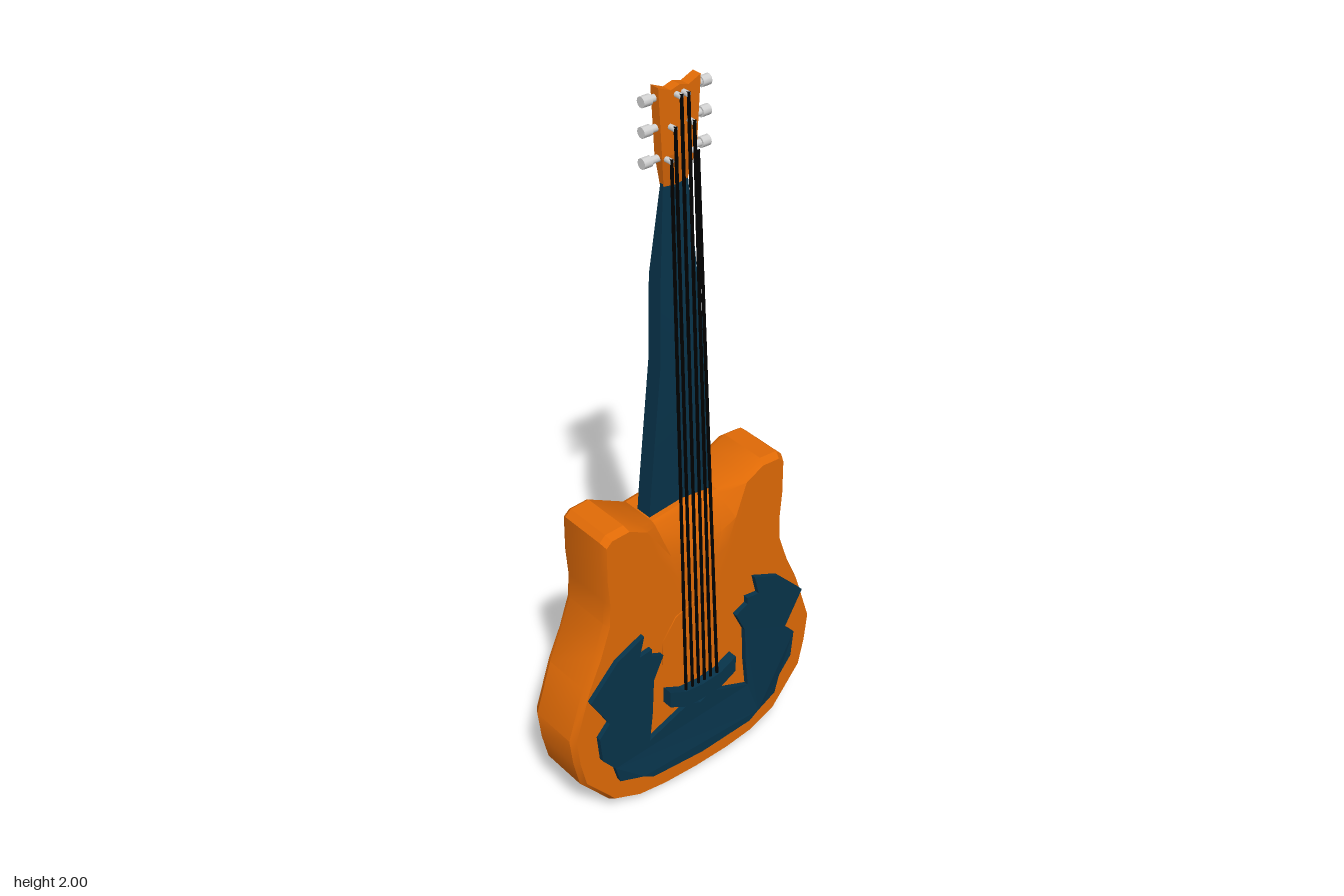
import * as THREE from 'three';
import { toCreasedNormals } from 'three/addons/utils/BufferGeometryUtils.js';

const material = (name, color) => {
  const m = new THREE.MeshStandardMaterial({ color });
  m.name = name;
  return m;
};

// Mirrors a right-hand outline (bottom to top) into a closed symmetric outline
function mirrored(half) {
  const right = half.map(([x, y]) => new THREE.Vector2(x, y));
  const left = half.filter(([x]) => x > 0).reverse().map(([x, y]) => new THREE.Vector2(-x, y));
  return [...right, ...left];
}

// Extruded symmetric plate from z0 to z1
function plate(half, z0, z1) {
  const g = new THREE.ExtrudeGeometry(new THREE.Shape(mirrored(half)), { depth: z1 - z0, bevelEnabled: false });
  return g.translate(0, 0, z0);
}

// Closed solid lofted through equal-sized rings, each counterclockwise about the loft direction
function loft(rings, crease) {
  const n = rings[0].length, top = (rings.length - 1) * n, index = [];
  for (let r = 0; r < rings.length - 1; r++) {
    for (let i = 0; i < n; i++) {
      const a = r * n + i, b = r * n + (i + 1) % n;
      index.push(a, b, a + n, b, b + n, a + n);
    }
  }
  for (let i = 1; i < n - 1; i++) {
    index.push(0, i + 1, i);
    index.push(top, top + i, top + i + 1);
  }
  const g = new THREE.BufferGeometry();
  g.setAttribute('position', new THREE.Float32BufferAttribute(rings.flat(2), 3));
  g.setIndex(index);
  return toCreasedNormals(g, crease);
}

export function createModel() {
  const model = new THREE.Group();
  model.name = 'guitar';
  const orange = material('orange wood', 0xe06a06);
  const navy = material('dark blue', 0x07334a);
  const silver = material('silver metal', 0xd2d2d2);
  const black = material('black string', 0x000000);

  const add = (name, geometry, mat, parent = model) => {
    const mesh = new THREE.Mesh(geometry, mat);
    mesh.name = name;
    parent.add(mesh);
    return mesh;
  };

  // Body with two horns: the outline scaled about a centre, from back to front
  const outline = mirrored([
    [0, 0.003], [0.11, 0.007], [0.2, 0.02], [0.285, 0.057], [0.378, 0.17], [0.396, 0.25],
    [0.406, 0.335], [0.358, 0.485], [0.32, 0.57], [0.289, 0.66], [0.285, 0.73], [0.292, 0.81],
    [0.292, 0.912], [0.275, 0.928], [0.22, 0.931], [0.165, 0.902], [0.105, 0.87], [0, 0.882],
  ]);
  const centreY = 0.45;
  // The front rim drops at the notch where the neck joins
  const bodyRing = ([scale, z, notchZ]) => outline.map(({ x, y }) => [
    x * scale, centreY + (y - centreY) * scale, Math.abs(x) < 0.11 && y > 0.8 ? notchZ : z,
  ]);
  add('body', loft([
    [0, -0.1, -0.1], [0.975, -0.1, -0.1], [1, -0.084, -0.084],
    [1, 0.052, 0.02], [0.975, 0.07, 0.03], [0.77, 0.07, 0.066], [0.6, 0.07, 0.07], [0, 0.07, 0.07],
  ].map(bodyRing), 0.5), orange);

  // Sound plate under the strings
  const disc = new THREE.CylinderGeometry(0.122, 0.122, 0.006, 10).rotateX(Math.PI / 2);
  add('soundPlate', disc, orange).position.set(0, 0.48, 0.07);

  // Pickguard wrapping round the bridge, thicker along its lower edge
  const guard = plate([
    [0, 0.086], [0.17, 0.098], [0.2, 0.118], [0.27, 0.135], [0.285, 0.19], [0.325, 0.24],
    [0.333, 0.32], [0.3, 0.355], [0.357, 0.455], [0.27, 0.545], [0.185, 0.583], [0.2, 0.522],
    [0.16, 0.527], [0.162, 0.505], [0.123, 0.487], [0.155, 0.42], [0.16, 0.31], [0.17, 0.22],
    [0.04, 0.272], [0, 0.255],
  ], 0.064, 0.084);
  const gp = guard.attributes.position;
  for (let i = 0; i < gp.count; i++) {
    if (gp.getZ(i) > 0.08 && gp.getY(i) < 0.13 && Math.abs(gp.getX(i)) < 0.21) gp.setZ(i, 0.096);
  }
  guard.computeVertexNormals();
  add('pickguard', guard, navy);

  // Curved bridge
  add('bridge', plate([
    [0, 0.28], [0.06, 0.284], [0.112, 0.312], [0.112, 0.362], [0.06, 0.336], [0, 0.33],
  ], 0.062, 0.098), navy);

  // Neck: y, half width, front z, back z
  const neckRing = ([y, w, f, b]) => [
    [-w, y, f], [w, y, f], [w, y, b + 0.2 * (f - b)],
    [0.55 * w, y, b], [-0.55 * w, y, b], [-w, y, b + 0.2 * (f - b)],
  ];
  add('neck', loft([
    [0.8, 0.106, 0.005, -0.054], [0.93, 0.097, 0.006, -0.053], [1.3, 0.07, 0.014, -0.043],
    [1.52, 0.054, -0.003, -0.057], [1.76, 0.036, -0.015, -0.026],
  ].map(neckRing), 0.35), navy);

  // Headstock, thinning towards the neck
  const head = plate([
    [0, 1.745], [0.035, 1.75], [0.05, 1.83], [0.06, 2], [0.025, 1.985], [0, 1.992],
  ], -0.027, 0);
  const hp = head.attributes.position;
  for (let i = 0; i < hp.count; i++) {
    if (hp.getY(i) < 1.8 && hp.getZ(i) > -0.01) hp.setZ(i, -0.014);
  }
  head.computeVertexNormals();
  add('headstock', head, orange);

  // Tuning pegs and strings, three on each side
  const rows = [
    { y: 1.972, top: 0.01, low: 0.01 },
    { y: 1.9, top: 0.027, low: 0.031 },
    { y: 1.825, top: 0.038, low: 0.053 },
  ];
  const shaftGeo = new THREE.CylinderGeometry(0.009, 0.009, 0.05, 10).rotateZ(Math.PI / 2);
  const knobGeo = new THREE.CylinderGeometry(0.0135, 0.0135, 0.024, 10).rotateZ(Math.PI / 2);
  const postGeo = new THREE.CylinderGeometry(0.007, 0.007, 0.022, 8).rotateX(Math.PI / 2);
  for (const side of [-1, 1]) {
    for (const { y, top, low } of rows) {
      const peg = new THREE.Group();
      peg.name = 'tuningPeg';
      model.add(peg);
      add('pegShaft', shaftGeo, silver, peg).position.set(side * 0.06, y, -0.016);
      add('pegKnob', knobGeo, silver, peg).position.set(side * 0.084, y, -0.016);
      add('pegPost', postGeo, silver, peg).position.set(side * top, y, 0.008);

      const path = new THREE.LineCurve3(
        new THREE.Vector3(side * low, 0.335, 0.09),
        new THREE.Vector3(side * top, y + 0.008, 0.018),
      );
      add('string', new THREE.TubeGeometry(path, 1, 0.0045, 6), black);
    }
  }
  return model;
}
